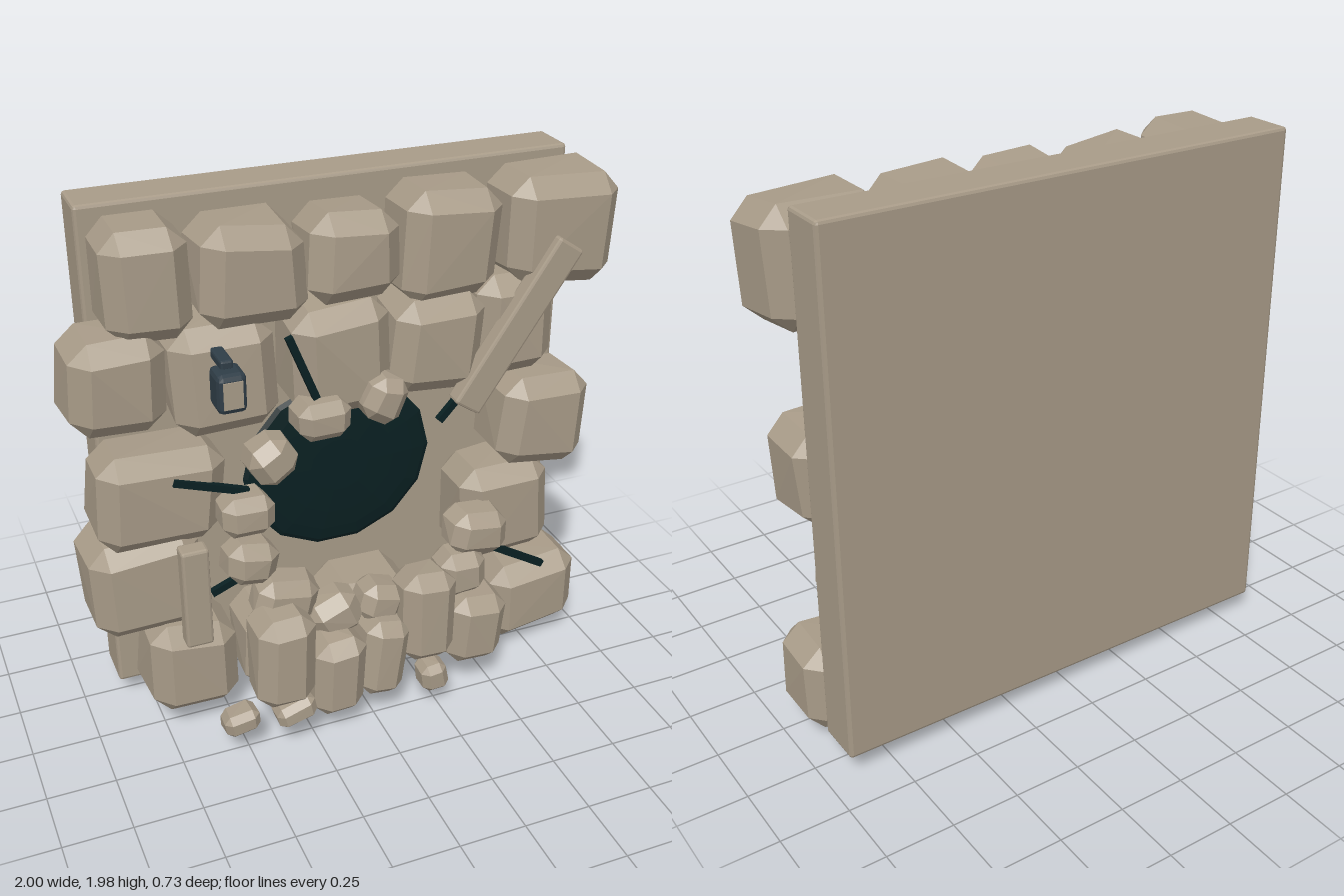
import * as THREE from 'three';
import { ConvexGeometry } from 'three/addons/geometries/ConvexGeometry.js';
import { RoundedBoxGeometry } from 'three/addons/geometries/RoundedBoxGeometry.js';

function material(name, color, flat) {
  const m = new THREE.MeshStandardMaterial({ color, flatShading: flat });
  m.name = name;
  return m;
}

// small seeded generator for the uneven stone corners
let seed = 11;
function rand() {
  seed = (seed * 16807) % 2147483647;
  return seed / 2147483647;
}

// chamfered block with corners pulled in unevenly
function rockGeometry(w, h, d, bevel) {
  const pts = [];
  const c = Math.min(w, h, d) * bevel;
  for (const sx of [-1, 1]) for (const sy of [-1, 1]) for (const sz of [-1, 1]) {
    const x = w / 2 * (1 - 0.13 * rand());
    const y = h / 2 * (1 - 0.13 * rand());
    const z = d / 2 * (1 - 0.1 * rand());
    pts.push(
      new THREE.Vector3(sx * x, sy * (y - c), sz * (z - c)),
      new THREE.Vector3(sx * (x - c), sy * y, sz * (z - c)),
      new THREE.Vector3(sx * (x - c), sy * (y - c), sz * z)
    );
  }
  return new ConvexGeometry(pts);
}

export function createModel() {
  seed = 11;
  const model = new THREE.Group();
  model.name = 'brokenStoneWall';
  const stone = material('stone', 0xa89b88, true);
  const dark = material('darkVoid', 0x0a2022, true);
  const metal = material('lanternMetal', 0x2f3d47, true);

  function add(parent, name, geo, mat, x, y, z, rz = 0) {
    const mesh = new THREE.Mesh(geo, mat);
    mesh.name = name;
    mesh.position.set(x, y, z);
    mesh.rotation.z = rz;
    parent.add(mesh);
    return mesh;
  }
  function group(name) {
    const g = new THREE.Group();
    g.name = name;
    model.add(g);
    return g;
  }

  // backing slab
  add(model, 'backSlab', new RoundedBoxGeometry(1.79, 1.9, 0.18, 1, 0.012), stone, 0.025, 1.03, -0.28);

  // big wall blocks: left, right, bottom, top, tilt
  const blocks = group('wallBlocks');
  [
    [-0.85, -0.55, 1.57, 1.97, 0.04], [-0.54, -0.16, 1.57, 1.94, -0.03],
    [-0.18, 0.17, 1.61, 1.94, 0], [0.18, 0.56, 1.54, 1.96, -0.03], [0.56, 1.0, 1.55, 1.98, -0.05],
    [-1.0, -0.66, 1.27, 1.63, -0.06], [-0.65, -0.26, 1.19, 1.62, 0.04],
    [-0.24, 0.14, 1.2, 1.62, 0.02], [0.13, 0.49, 1.22, 1.6, -0.03], [0.46, 0.79, 1.21, 1.63, 0],
    [-0.96, -0.48, 0.81, 1.18, -0.06], [0.56, 0.93, 0.83, 1.22, -0.05],
    [-1.0, -0.57, 0.44, 0.86, 0.06], [0.43, 0.82, 0.44, 0.86, 0.04],
    [-0.81, -0.46, 0.08, 0.47, -0.04], [0.58, 0.98, 0.04, 0.39, 0.05],
    [0.26, 0.61, 0.0, 0.35, -0.08], [-0.45, -0.1, 0.09, 0.46, 0.03], [-0.1, 0.26, 0.1, 0.46, -0.03]
  ].forEach(([x0, x1, y0, y1, tilt], i) => {
    const z = -0.04 + 0.012 * ((i % 3) - 1);
    add(blocks, 'wallBlock', rockGeometry(x1 - x0, y1 - y0, 0.32, 0.2), stone,
      (x0 + x1) / 2, (y0 + y1) / 2, z, tilt);
  });

  // small stones around the hole: x, y, width, height, z, tilt
  const rim = group('rimStones');
  [
    [0.075, 1.27, 0.16, 0.18, 0.1, -0.4], [-0.15, 1.235, 0.2, 0.15, 0.1, 0],
    [-0.34, 1.12, 0.18, 0.17, 0.12, 0.55], [-0.44, 0.93, 0.2, 0.16, 0.12, -0.08],
    [-0.43, 0.73, 0.2, 0.18, 0.12, -0.1], [-0.31, 0.55, 0.25, 0.19, 0.14, -0.2],
    [0.45, 0.66, 0.24, 0.19, 0.14, -0.1], [0.38, 0.51, 0.2, 0.2, 0.16, 0],
    [-0.13, 0.45, 0.21, 0.18, 0.16, 0.4], [0.05, 0.46, 0.18, 0.16, 0.16, -0.3]
  ].forEach(([x, y, w, h, z, tilt]) =>
    add(rim, 'rimStone', rockGeometry(w, h, 0.18, 0.25), stone, x, y, z, tilt));

  // upright rubble and pebbles in front: x, y, width, height, depth, z, tilt
  const rubble = group('rubble');
  [
    [-0.36, 0.375, 0.23, 0.41, 0.24, 0.24, 0], [-0.155, 0.255, 0.21, 0.35, 0.22, 0.24, 0],
    [0.03, 0.265, 0.19, 0.34, 0.22, 0.22, -0.14], [0.21, 0.405, 0.22, 0.39, 0.22, 0.22, 0],
    [0.42, 0.28, 0.25, 0.32, 0.22, 0.2, -0.07],
    [-0.535, 0.15, 0.14, 0.1, 0.12, 0.27, 0.15], [-0.335, 0.165, 0.16, 0.1, 0.12, 0.3, 0.3],
    [0.23, 0.135, 0.11, 0.13, 0.12, 0.27, 0.1]
  ].forEach(([x, y, w, h, d, z, tilt]) =>
    add(rubble, 'rubbleStone', rockGeometry(w, h, d, 0.24), stone, x, y, z, tilt));

  // dark opening, a shallow dome on the slab
  const holeGeo = new THREE.SphereGeometry(0.375, 14, 10);
  holeGeo.rotateX(Math.PI / 2);
  holeGeo.scale(1, 0.94, 0.08);
  add(model, 'darkOpening', holeGeo, dark, 0.03, 0.86, -0.19);

  // cracks running outward: start and end in x, y
  const cracks = group('cracks');
  [
    [-0.26, 1.55, -0.165, 1.31], [-0.68, 1.09, -0.42, 1.0], [-0.57, 0.61, -0.4, 0.68],
    [0.3, 1.13, 0.41, 1.25], [0.47, 0.58, 0.77, 0.4]
  ].forEach(([x0, y0, x1, y1]) =>
    add(cracks, 'crack', new THREE.BoxGeometry(Math.hypot(x1 - x0, y1 - y0), 0.026, 0.022), dark,
      (x0 + x1) / 2, (y0 + y1) / 2, 0.112, Math.atan2(y1 - y0, x1 - x0)));

  // loose stone slats
  add(model, 'leaningSlat', new RoundedBoxGeometry(0.68, 0.115, 0.07, 1, 0.01), stone, 0.583, 1.455, 0.115, 0.98);
  add(model, 'uprightSlat', new RoundedBoxGeometry(0.1, 0.4, 0.07, 1, 0.01), stone, -0.63, 0.62, 0.115);

  // wall lantern
  const lantern = group('lantern');
  add(lantern, 'lanternBody', new RoundedBoxGeometry(0.1, 0.14, 0.11, 1, 0.02), metal, -0.5, 1.45, 0.2);
  add(lantern, 'lanternBracket', new RoundedBoxGeometry(0.045, 0.035, 0.14, 1, 0.008), metal, -0.5, 1.53, 0.13);
  add(lantern, 'lanternPane', new THREE.BoxGeometry(0.066, 0.095, 0.006), stone, -0.5, 1.45, 0.256);

  return model;
}
